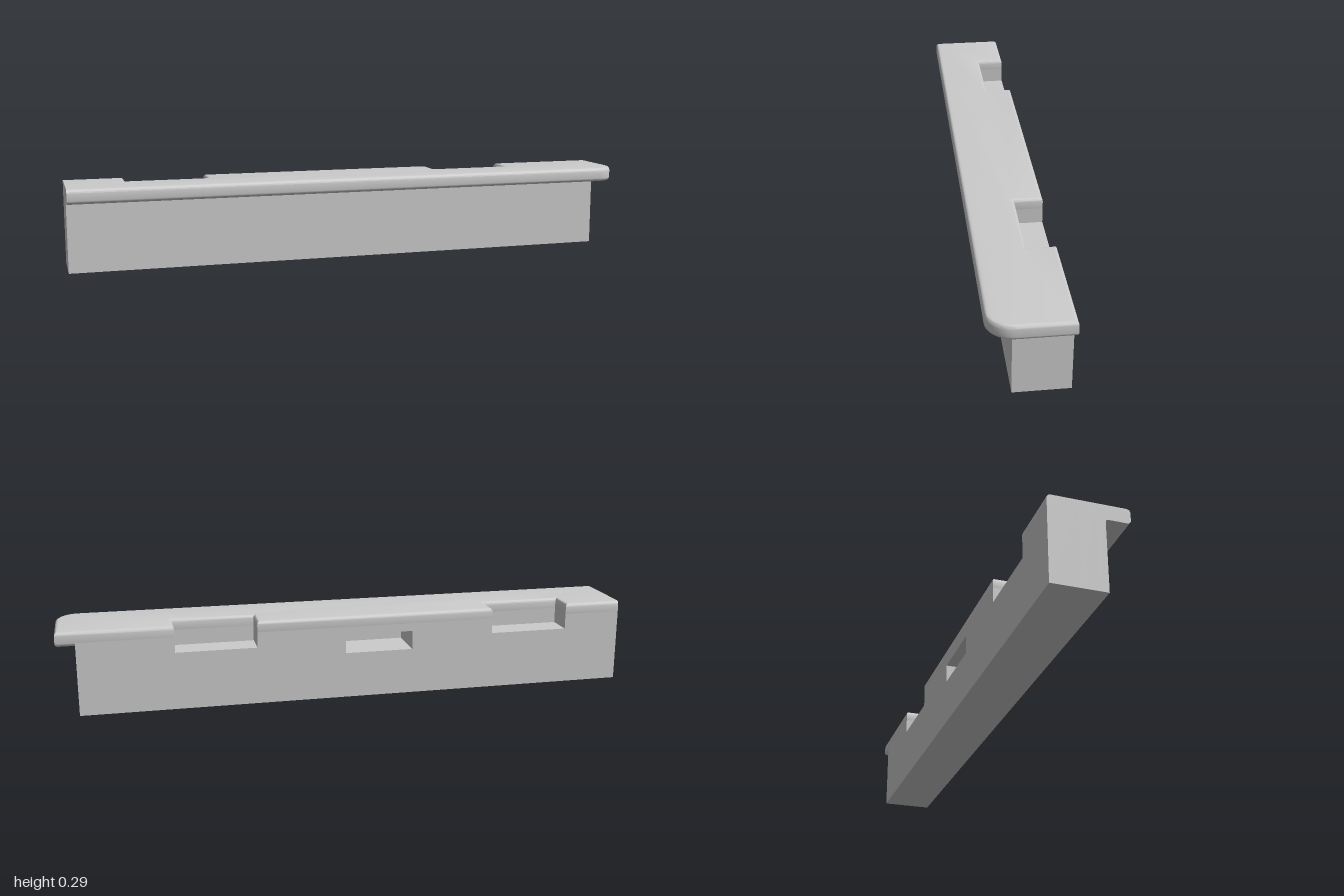
import * as THREE from 'three';
import { toCreasedNormals } from 'three/addons/utils/BufferGeometryUtils.js';

const LEFT = 0.935, END = -1;            // body ends in x
const BACK = -0.13, FRONT = 0.05;        // body faces in z
const LEDGE_Y = 0.242, TOP = 0.292, BEVEL = 0.012;
const NOTCH_Z = -0.035, NOTCH_Y = 0.2;
const NOTCHES = [[-0.795, -0.515], [0.33, 0.61]];

export function createModel() {
  const group = new THREE.Group();
  const material = new THREE.MeshStandardMaterial({ color: 0xcccccc });
  const add = (name, geometry) => {
    const mesh = new THREE.Mesh(geometry, material);
    mesh.name = name;
    group.add(mesh);
  };

  // Body slabs, stacked from back to front; the back one is notched along its top
  const slab = (name, z0, z1, notched, pocketed) => {
    const top = LEDGE_Y + BEVEL;
    const s = new THREE.Shape().moveTo(END, 0).lineTo(LEFT, 0).lineTo(LEFT, top);
    if (notched) {
      for (const [a, b] of [...NOTCHES].reverse()) {
        s.lineTo(b, top).lineTo(b, NOTCH_Y).lineTo(a, NOTCH_Y).lineTo(a, top);
      }
    }
    s.lineTo(END, top).closePath();
    if (pocketed) {
      s.holes.push(new THREE.Path().moveTo(-0.22, 0.16).lineTo(-0.22, 0.226)
        .lineTo(0.02, 0.226).lineTo(0.02, 0.16).closePath());
    }
    const g = new THREE.ExtrudeGeometry(s, { depth: z1 - z0, bevelEnabled: false });
    add(name, g.translate(0, 0, z0));
  };
  slab('bodyBack', BACK, NOTCH_Z, true, true);
  slab('bodyMiddle', NOTCH_Z, 0.02, false, true);
  slab('bodyFront', 0.02, FRONT, false, false);

  // Ledge: plan outline (x, -z) with notches and one rounded front corner
  const o = new THREE.Shape();
  const endX = END - BEVEL;
  o.moveTo(endX, -0.13).lineTo(0.925, -0.13);
  o.bezierCurveTo(0.965, -0.13, 1, -0.09, 1, -0.045);
  o.lineTo(1, -BACK);
  for (const [a, b] of [...NOTCHES].reverse()) {
    o.lineTo(b, -BACK).lineTo(b, -NOTCH_Z).lineTo(a, -NOTCH_Z).lineTo(a, -BACK);
  }
  o.lineTo(endX, -BACK).closePath();
  const ledge = new THREE.ExtrudeGeometry(o, {
    depth: TOP - LEDGE_Y - 2 * BEVEL, curveSegments: 10, bevelSegments: 4,
    bevelSize: BEVEL, bevelThickness: BEVEL, bevelOffset: -BEVEL,
  });
  ledge.rotateX(-Math.PI / 2).translate(0, LEDGE_Y + BEVEL, 0);
  // Cut the right end off flat
  const p = ledge.attributes.position;
  for (let i = 0; i < p.count; i++) p.setX(i, Math.max(p.getX(i), END));
  add('ledge', toCreasedNormals(ledge, 0.5));

  // Small cove under the front overhang
  const r = 0.009;
  const c = new THREE.Shape().moveTo(0, 0).lineTo(0, -r);
  c.quadraticCurveTo(0, 0, -r, 0);
  const cove = new THREE.ExtrudeGeometry(c, { depth: LEFT - END, bevelEnabled: false, curveSegments: 5 });
  cove.rotateY(Math.PI / 2).translate(END, LEDGE_Y, FRONT);
  add('cove', toCreasedNormals(cove, 0.6));

  return group;
}
